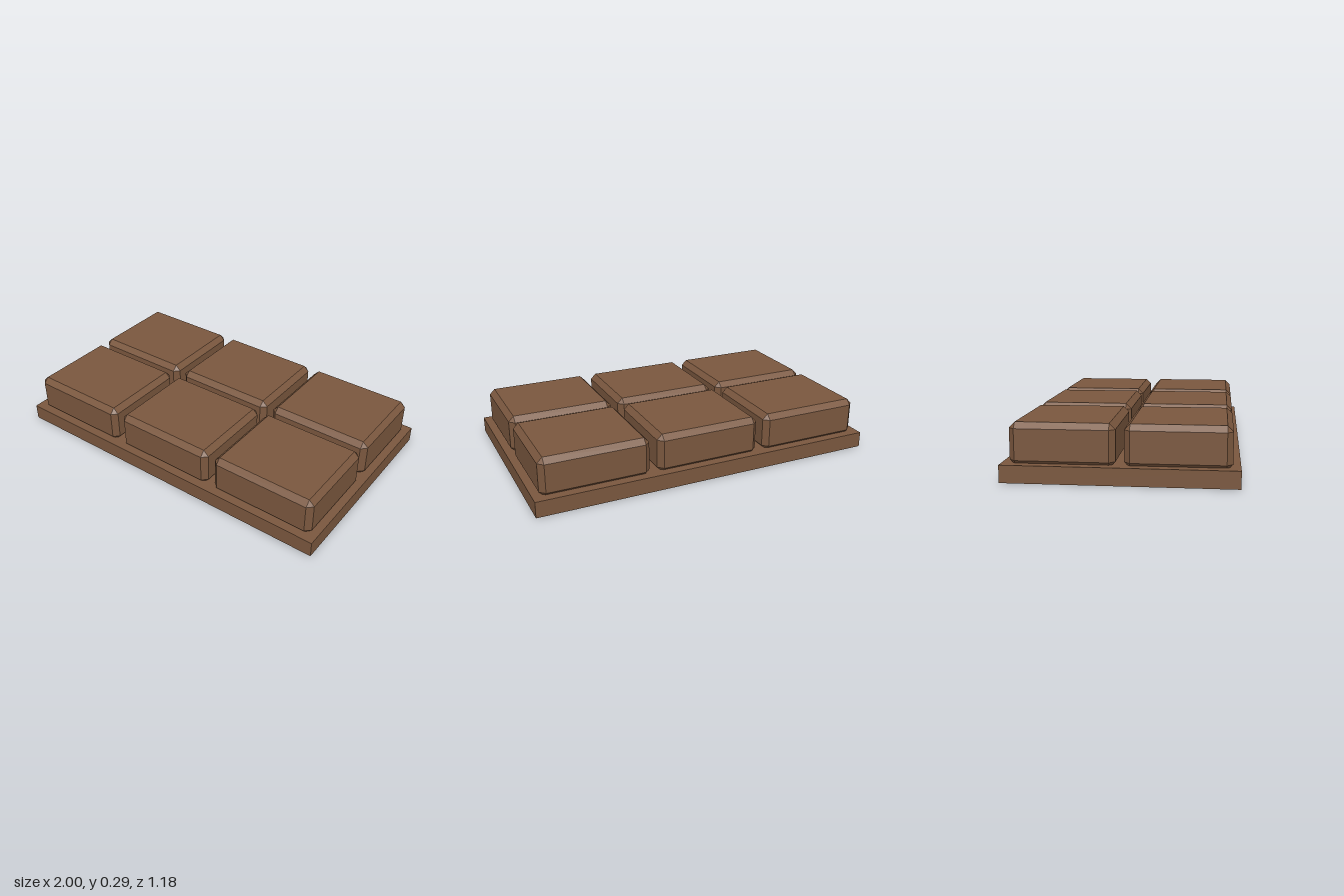
import * as THREE from 'three';
import { ConvexGeometry } from 'three/addons/geometries/ConvexGeometry.js';

// Box with every edge chamfered and a small triangle at each corner
function chamferedBox(width, height, depth, bevel) {
  const points = [];
  for (const sx of [-1, 1]) for (const sy of [-1, 1]) for (const sz of [-1, 1]) {
    const [x, y, z] = [width / 2, height / 2, depth / 2];
    points.push(
      new THREE.Vector3(sx * x, sy * (y - bevel), sz * (z - bevel)),
      new THREE.Vector3(sx * (x - bevel), sy * y, sz * (z - bevel)),
      new THREE.Vector3(sx * (x - bevel), sy * (y - bevel), sz * z)
    );
  }
  return new ConvexGeometry(points);
}

export function createModel() {
  const group = new THREE.Group();
  group.name = 'chocolateBar';
  const chocolate = new THREE.MeshStandardMaterial({ color: 0x7a573e });
  chocolate.name = 'milk chocolate brown';

  // Flat slab under the pieces
  const base = new THREE.Mesh(new THREE.BoxGeometry(2, 0.09, 1.18), chocolate);
  base.name = 'base';
  base.position.y = 0.045;
  group.add(base);

  // Three by two grid of pieces, sunk slightly into the slab
  const pieceGeometry = chamferedBox(0.61, 0.22, 0.53, 0.03);
  for (const row of [-1, 1]) {
    for (const column of [-1, 0, 1]) {
      const piece = new THREE.Mesh(pieceGeometry, chocolate);
      piece.name = 'piece';
      piece.position.set(column * 0.655, 0.185, row * 0.286);
      group.add(piece);
    }
  }
  return group;
}
